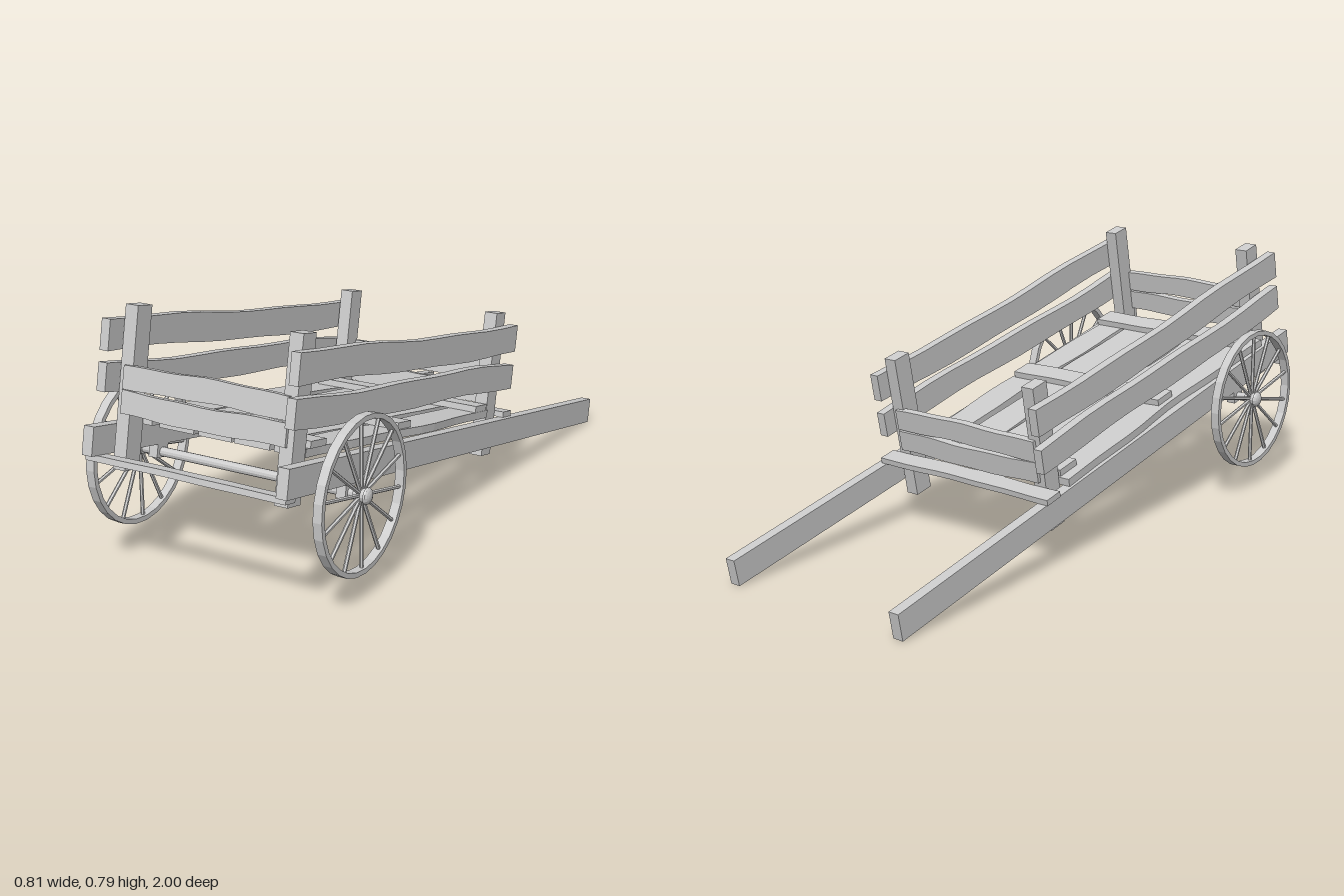
import * as THREE from 'three';

const mat = new THREE.MeshStandardMaterial({ color: 0xcccccc, flatShading: true });

function add(parent, name, geo, x = 0, y = 0, z = 0) {
  const m = new THREE.Mesh(geo, mat);
  m.name = name;
  m.position.set(x, y, z);
  parent.add(m);
  return m;
}

const box = (w, h, d) => new THREE.BoxGeometry(w, h, d);

// Rough-sawn board along z: width w in x, thickness t in y, with both long edges wandering
function roughBoard(w, t, len, wave, seed, segments = 12) {
  const g = new THREE.BoxGeometry(w, t, len, 1, 1, segments);
  const p = g.attributes.position;
  for (let i = 0; i < p.count; i++) {
    const u = p.getZ(i) / len * 6;
    const side = Math.sign(p.getX(i));
    const drift = Math.sin(u * 1.1 + seed * 2.3) + 0.5 * Math.sin(u * 2.7 + seed * 4.1 + side * 0.9);
    p.setX(i, p.getX(i) + wave * drift);
  }
  g.computeVertexNormals();
  return g;
}

function createWheel(side) {
  const wheel = new THREE.Group();
  wheel.name = side > 0 ? 'leftWheel' : 'rightWheel';
  // Rim with a rectangular section
  const section = [[0.214, -0.014], [0.229, -0.014], [0.229, 0.014], [0.214, 0.014], [0.214, -0.014]]
    .map(([r, y]) => new THREE.Vector2(r, y));
  add(wheel, 'rim', new THREE.LatheGeometry(section, 28).rotateZ(Math.PI / 2));
  // Spokes
  for (let i = 0; i < 14; i++) {
    const spoke = new THREE.CylinderGeometry(0.006, 0.006, 0.2, 6).translate(0, 0.118, 0);
    add(wheel, 'spoke', spoke.rotateX(i / 14 * Math.PI * 2));
  }
  // Hub and domed cap
  add(wheel, 'hub', new THREE.CylinderGeometry(0.02, 0.02, 0.036, 12).rotateZ(Math.PI / 2));
  const cap = new THREE.SphereGeometry(0.025, 12, 4, 0, Math.PI * 2, 0, Math.PI / 2);
  cap.scale(1, 0.55, 1).rotateZ(-side * Math.PI / 2);
  add(wheel, 'hubCap', cap, side * 0.017);
  const back = new THREE.CircleGeometry(0.025, 12).rotateY(-side * Math.PI / 2);
  add(wheel, 'hubCapBack', back, side * 0.017);
  wheel.position.set(side * 0.375, 0.311, 0.681);
  return wheel;
}

export function createModel() {
  const cart = new THREE.Group();
  cart.name = 'handCart';

  // Everything but the wheels leans back with the shafts
  const body = new THREE.Group();
  body.name = 'body';
  body.position.y = 0.241;
  body.rotation.x = -0.198;
  cart.add(body);

  for (const side of [-1, 1]) {
    const label = side > 0 ? 'left' : 'right';
    const shaftX = 0.008 + side * 0.316;
    add(body, label + 'Shaft', box(0.034, 0.083, 2.024), shaftX);
    add(body, label + 'AxleBlock', box(0.03, 0.045, 0.05), shaftX, -0.06, 0.681);

    // Corner posts
    for (const z of [0.895, -0.272]) {
      add(body, label + 'Post', box(0.042, 0.462, 0.064), 0.007 + side * 0.266, 0.148, z);
    }

    // Two side boards, stood on edge
    [[0.173, 0.08], [0.291, 0.086]].forEach(([y, h], i) => {
      const g = roughBoard(h, 0.029, 1.326, 0.005, i + 1.4).rotateZ(Math.PI / 2);
      add(body, label + 'SideBoard', g, 0.002 + side * 0.306, y, 0.315);
    });
  }

  // Two boards across each end
  for (const [name, z] of [['frontBoard', 0.926], ['rearBoard', -0.304]]) {
    [0.107, 0.182].forEach((y, i) => {
      const g = roughBoard(0.066, 0.022, 0.538, 0.003, i + 2.2).rotateZ(Math.PI / 2).rotateY(Math.PI / 2);
      add(body, name, g, 0.006, y, z);
    });
  }

  // Floor planks with uneven gaps
  [[-0.255, 0.11], [-0.128, 0.112], [-0.003, 0.112], [0.124, 0.112], [0.25, 0.1]].forEach(([x, w], i) => {
    add(body, 'floorPlank', roughBoard(w, 0.024, 1.1, 0.007, i * 0.8 + 0.5, 14), x, 0.055, 0.308);
  });

  // Battens across the floor
  [-0.198, 0.322, 0.802].forEach((z, i) => {
    const g = roughBoard(0.078, 0.02, 0.58, 0.003, i + 0.6).rotateY(Math.PI / 2);
    add(body, 'floorBatten', g, 0.006, 0.077, z);
  });

  // Cross rails: one under the shafts in front, one over them behind
  const rail = (name, w, y, z, seed) =>
    add(body, name, roughBoard(w, 0.018, 0.655, 0.003, seed).rotateY(Math.PI / 2), -0.002, y, z);
  rail('frontRail', 0.045, -0.05, 0.965, 1);
  rail('rearRail', 0.06, 0.051, -0.33, 2);

  // Axle and wheels
  add(cart, 'axle', new THREE.CylinderGeometry(0.014, 0.014, 0.78, 12).rotateZ(Math.PI / 2), 0, 0.311, 0.681);
  cart.add(createWheel(-1), createWheel(1));
  return cart;
}
